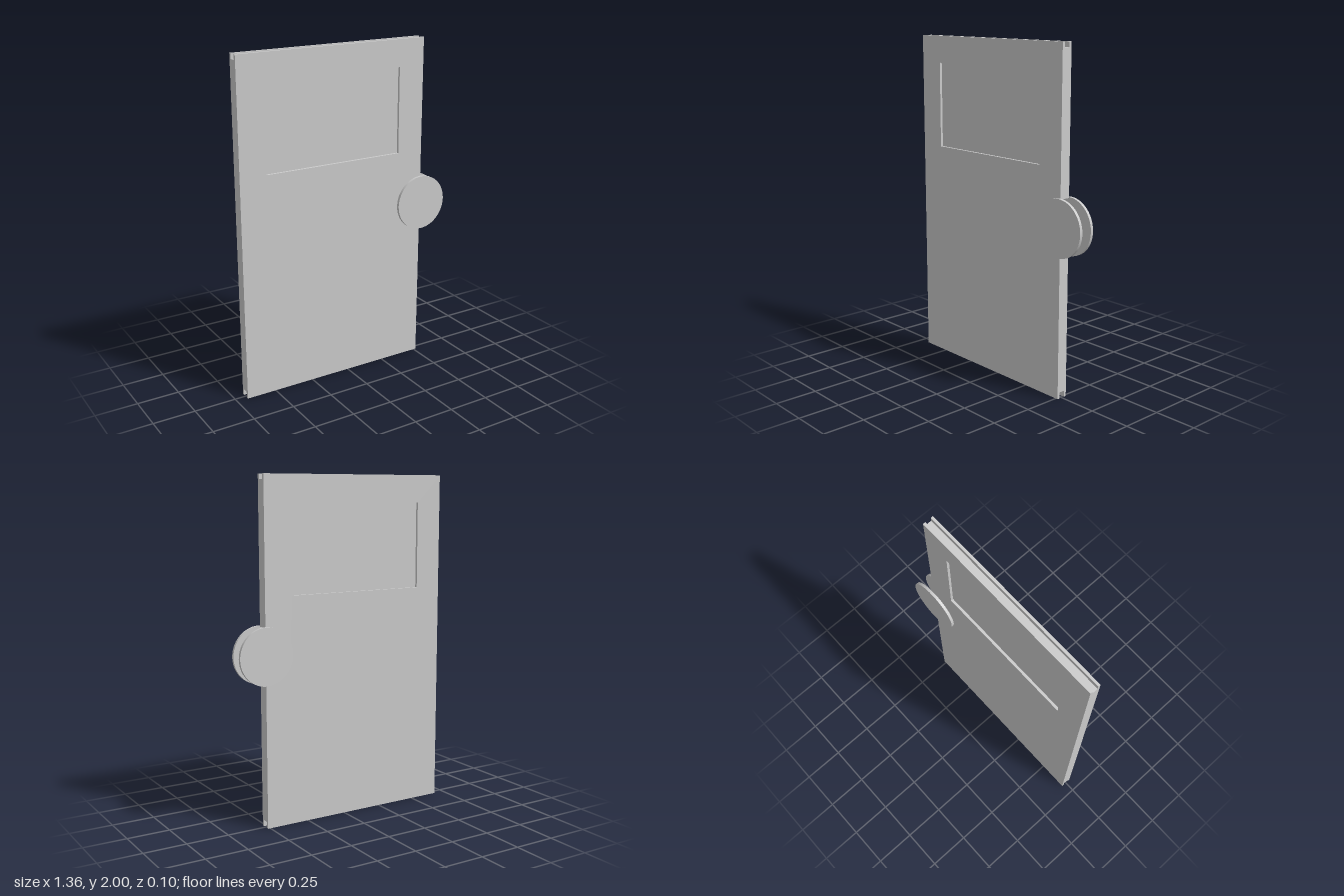
import * as THREE from 'three';

const LEFT = -0.683, RIGHT = 0.515, HALF = 0.033, GROOVE = 0.018;
const KNOB = { x: 0.515, y: 1.0, r: 0.166 };
const WIN = { x0: -0.52, x1: 0.35, y0: 1.33, y1: 1.84 };

// Door outline with a half-round cut-out in the latch edge and a window opening
function doorShape(bottom, top) {
  const s = new THREE.Shape();
  s.moveTo(LEFT, bottom);
  s.lineTo(RIGHT, bottom);
  s.lineTo(RIGHT, KNOB.y - 0.16);
  s.absarc(KNOB.x, KNOB.y, 0.16, -Math.PI / 2, Math.PI / 2, true);
  s.lineTo(RIGHT, top);
  s.lineTo(LEFT, top);
  s.closePath();
  const h = new THREE.Path();
  h.moveTo(WIN.x0, WIN.y0);
  h.lineTo(WIN.x0, WIN.y1);
  h.lineTo(WIN.x1, WIN.y1);
  h.lineTo(WIN.x1, WIN.y0);
  h.closePath();
  s.holes.push(h);
  return s;
}

export function createModel() {
  const group = new THREE.Group();
  const mat = new THREE.MeshStandardMaterial({ color: 0xcccccc });

  const add = (name, geo, x = 0, y = 0, z = 0) => {
    const m = new THREE.Mesh(geo, mat);
    m.name = name;
    m.position.set(x, y, z);
    group.add(m);
    return m;
  };
  const slab = (shape, depth) =>
    new THREE.ExtrudeGeometry(shape, { depth, bevelEnabled: false, curveSegments: 32 });

  // Core is shorter than the skins, leaving guide grooves along top and bottom
  add('doorCore', slab(doorShape(0.037, 1.97), GROOVE * 2), 0, 0, -GROOVE);

  // Outer skins
  const skin = slab(doorShape(0, 2), HALF - GROOVE);
  add('frontSkin', skin, 0, 0, GROOVE);
  add('backSkin', skin, 0, 0, -HALF);

  // Recessed window pane
  add('windowPane',
    new THREE.BoxGeometry(WIN.x1 - WIN.x0, WIN.y1 - WIN.y0, GROOVE * 2),
    (WIN.x0 + WIN.x1) / 2, (WIN.y0 + WIN.y1) / 2, 0);

  // Round lock plates on both faces, overhanging the latch edge
  const disc = new THREE.CylinderGeometry(KNOB.r, KNOB.r, 0.017, 48).rotateX(Math.PI / 2);
  for (const side of [1, -1]) {
    add(side > 0 ? 'frontLockPlate' : 'backLockPlate', disc, KNOB.x, KNOB.y, side * (HALF + 0.0085));
  }

  return group;
}
